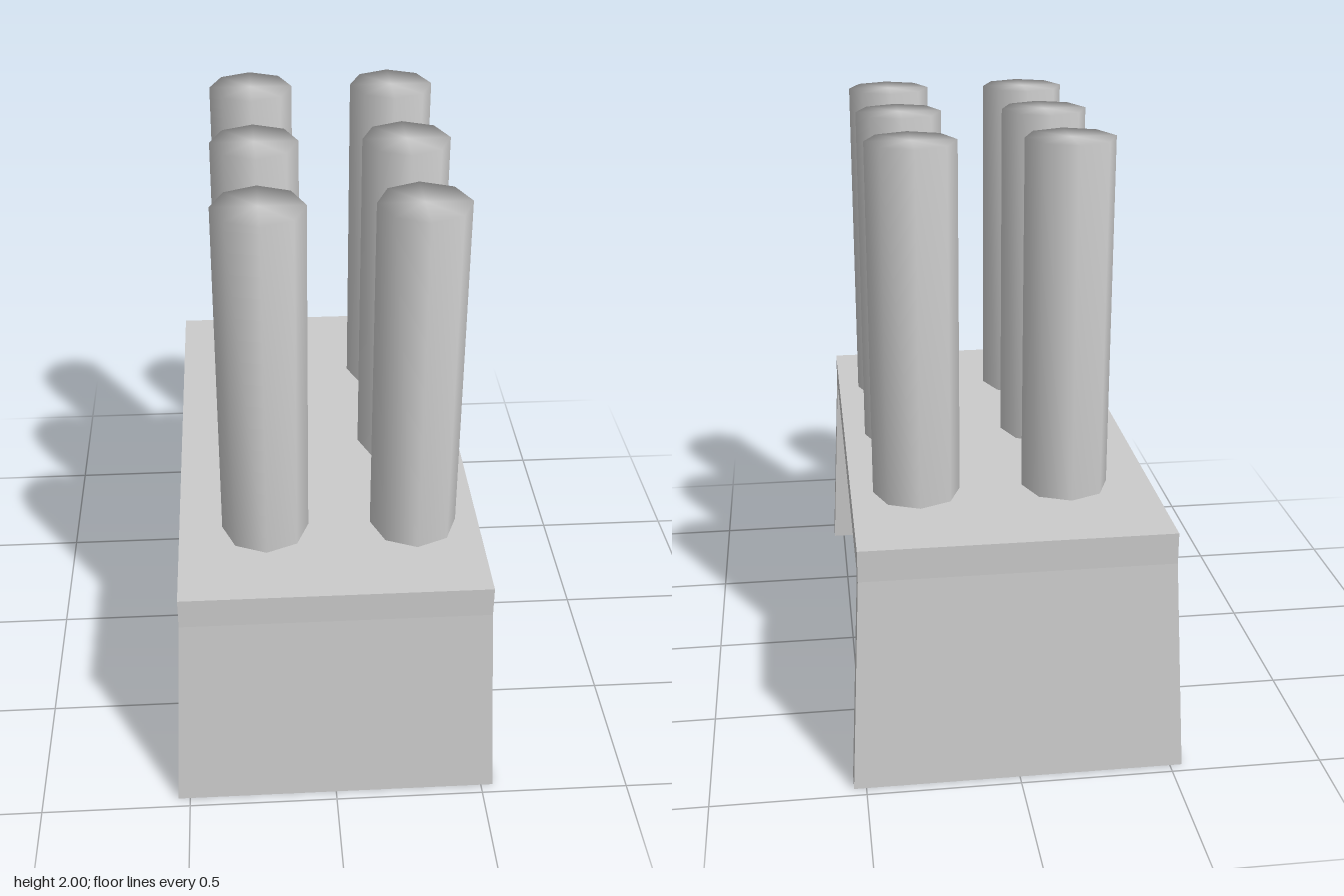
import * as THREE from 'three';

const material = new THREE.MeshStandardMaterial({ color: 0xcccccc });

function addMesh(parent, geometry, name) {
  const mesh = new THREE.Mesh(geometry, material);
  mesh.name = name;
  parent.add(mesh);
  return mesh;
}

// Splayed end panel: widens and leans outward towards the floor
function legGeometry(side) {
  const height = 0.72;
  const geometry = new THREE.BoxGeometry(1, height, 1);
  geometry.translate(0, height / 2, 0);
  const p = geometry.attributes.position;
  for (let i = 0; i < p.count; i++) {
    const bottom = p.getY(i) < 0.01;
    const outer = p.getZ(i) * side > 0;
    p.setX(i, Math.sign(p.getX(i)) * (bottom ? 0.54 : 0.505));
    p.setZ(i, side * (outer ? (bottom ? 0.965 : 0.92) : (bottom ? 0.89 : 0.85)));
  }
  geometry.computeVertexNormals();
  return geometry;
}

export function createModel() {
  const model = new THREE.Group();
  model.name = 'tubeRack';

  // Rack: flat plate on two end panels
  const plate = addMesh(model, new THREE.BoxGeometry(1.01, 0.105, 1.84), 'plate');
  plate.position.y = 0.7725;
  addMesh(model, legGeometry(1), 'frontLeg');
  addMesh(model, legGeometry(-1), 'backLeg');

  // Eight-sided, smooth-shaded tubes with a bevelled foot
  const profile = [[0, 0.155], [0.125, 0.155], [0.147, 0.19], [0.15, 0.72], [0.15, 2], [0, 2]]
    .map(([r, y]) => new THREE.Vector2(r, y));
  const tubeGeometry = new THREE.LatheGeometry(profile, 8);
  tubeGeometry.scale(0.97, 1, 1.01);

  const tubes = new THREE.Group();
  tubes.name = 'tubes';
  for (const x of [-0.215, 0.285]) {
    for (const z of [-0.485, 0.03, 0.535]) {
      addMesh(tubes, tubeGeometry, 'tube').position.set(x, 0, z);
    }
  }
  model.add(tubes);
  return model;
}
